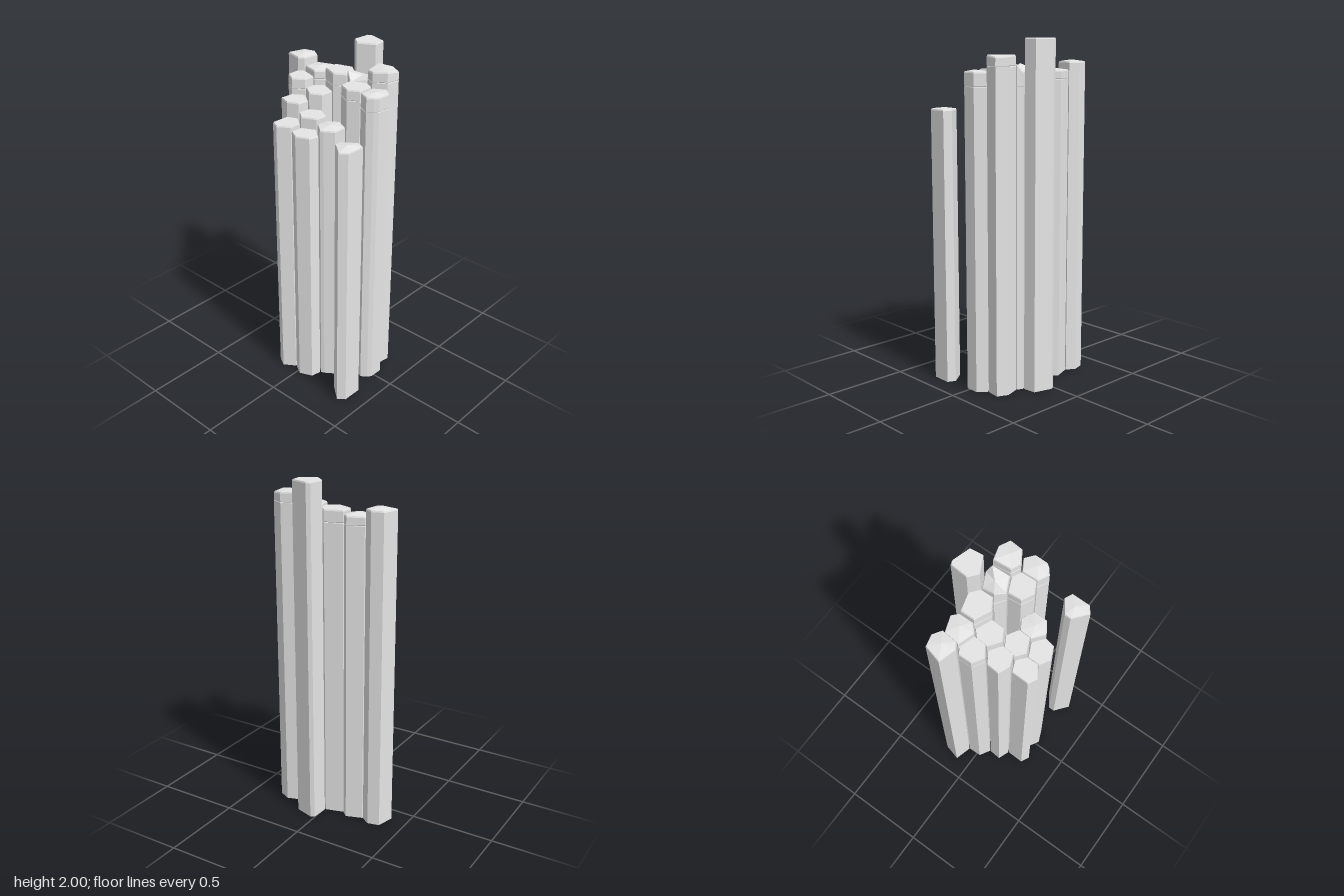
import * as THREE from 'three';

// Columns are the cells around these sites; joint is the height of a crack ring
const COLUMNS = [
  { name: 'backTallColumn', x: .068, z: -.25, height: 2 },
  { name: 'farLeftColumn', x: -.313, z: -.137, height: 1.865, dome: .01 },
  { name: 'backLeftColumn', x: -.197, z: -.124, height: 1.82, joint: 1.77, dome: .01 },
  { name: 'backMiddleColumn', x: -.035, z: -.126, height: 1.84, joint: 1.77 },
  { name: 'brokenColumn', x: .13, z: -.129, height: 1.86, joint: 1.74, dome: -.02, chip: .04 },
  { name: 'chippedColumn', x: .244, z: -.142, height: 1.91, joint: 1.85, chip: .01 },
  { name: 'leftColumn', x: -.233, z: -.008, height: 1.79, joint: 1.73 },
  { name: 'innerLeftColumn', x: -.088, z: -.006, height: 1.74 },
  { name: 'innerRightColumn', x: .183, z: -.012, height: 1.83, joint: 1.77 },
  { name: 'rightColumn', x: .317, z: -.017, height: 1.82, joint: 1.74, dome: .01 },
  { name: 'middleLeftColumn', x: -.161, z: .098, height: 1.7 },
  { name: 'middleColumn', x: -.022, z: .111, height: 1.65 },
  { name: 'middleRightColumn', x: .116, z: .119, height: 1.62, dome: .01 },
  { name: 'frontLeftColumn', x: -.11, z: .223, height: 1.615 },
  { name: 'frontColumn', x: .031, z: .225, height: 1.59 },
  { name: 'separateColumn', x: .337, z: .232, height: 1.605, dome: .01 },
];

// Empty sites that bound the outer cells and leave the gap in the middle
const EMPTY_SITES = [
  [.042, 0], [-.24, -.247], [-.345, -.269], [-.45, -.174], [-.35, -.006], [-.291, .087],
  [-.209, .22], [-.175, .351], [-.034, .336], [.078, .338], [.174, .255], [.197, .232],
  [.25, .116], [.27, .137], [.417, .064], [.4, .092], [.423, -.014], [.4, -.12],
  [.308, -.279], [.207, -.265], [.101, -.361], [0, -.404], [-.072, -.26],
  [.451, .234], [.433, .355], [.264, .321],
];

const GAP = .003;

// Cuts a polygon along the line halfway to another site, set back by the gap
function clip(polygon, site, x, z, gap) {
  const dx = x - site.x, dz = z - site.z;
  const length = Math.hypot(dx, dz);
  const side = ([px, pz]) => ((px - site.x) * dx + (pz - site.z) * dz) / length - length / 2 + gap;
  const result = [];
  polygon.forEach((p, i) => {
    const q = polygon[(i + 1) % polygon.length];
    const a = side(p), b = side(q);
    if (a <= 0) result.push(p);
    if (a * b < 0) {
      const t = a / (a - b);
      result.push([p[0] + (q[0] - p[0]) * t, p[1] + (q[1] - p[1]) * t]);
    }
  });
  return result;
}

// Outline of one column, without very short edges
function cellOutline(site) {
  let polygon = [[-1, -1], [1, -1], [1, 1], [-1, 1]];
  for (const other of COLUMNS) {
    if (other !== site) polygon = clip(polygon, site, other.x, other.z, GAP);
  }
  for (const [x, z] of EMPTY_SITES) polygon = clip(polygon, site, x, z, 0);
  return polygon.filter((p, i) => {
    const q = polygon[(i + 1) % polygon.length];
    return Math.hypot(p[0] - q[0], p[1] - q[1]) > .008;
  });
}

// Stacks scaled copies of the outline: open-bottomed shaft, optional joint groove, bevelled rim and cap
function columnGeometry(column) {
  const { height, joint = 0, dome = 0, chip = 0 } = column;
  const outline = cellOutline(column);
  const n = outline.length;
  const cx = outline.reduce((sum, p) => sum + p[0], 0) / n;
  const cz = outline.reduce((sum, p) => sum + p[1], 0) / n;

  const rings = [[1, 0]];
  if (joint) rings.push([1, joint - .003], [.97, joint], [1, joint + .003]);
  rings.push([.99, height - .008], [.94, height]);
  const last = rings.length - 1;

  const corner = (ring, i) => {
    const [scale, y] = rings[ring];
    const [x, z] = outline[i % n];
    const drop = ring >= last - 1 ? chip * ((i % n) % 3) / 2 : 0;
    return [cx + (x - cx) * scale, y - drop, cz + (z - cz) * scale];
  };

  const positions = [];
  const triangle = (a, b, c) => positions.push(...a, ...b, ...c);
  for (let i = 0; i < n; i++) {
    for (let r = 0; r < last; r++) {
      const a = corner(r, i), b = corner(r, i + 1), c = corner(r + 1, i + 1), d = corner(r + 1, i);
      triangle(a, c, b);
      triangle(a, d, c);
    }
    triangle([cx, height + dome, cz], corner(last, i + 1), corner(last, i));
  }
  const geometry = new THREE.BufferGeometry();
  geometry.setAttribute('position', new THREE.Float32BufferAttribute(positions, 3));
  geometry.computeVertexNormals();
  return geometry;
}

export function createModel() {
  const group = new THREE.Group();
  group.name = 'basaltColumns';
  const stone = new THREE.MeshStandardMaterial({ color: 0xe5e5e5, side: THREE.DoubleSide });
  stone.name = 'pale stone';

  for (const column of COLUMNS) {
    const mesh = new THREE.Mesh(columnGeometry(column), stone);
    mesh.name = column.name;
    group.add(mesh);
  }
  return group;
}
